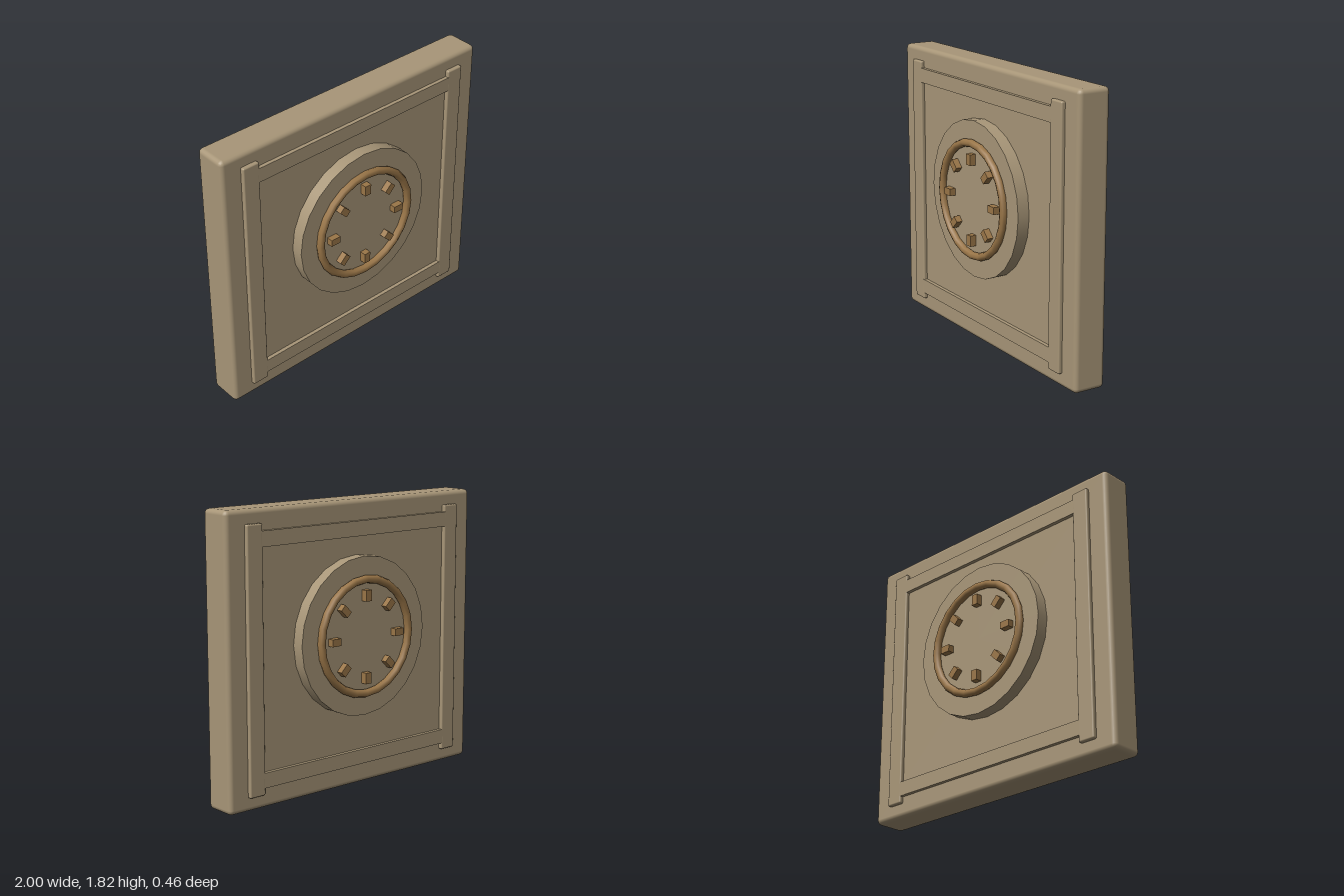
import * as THREE from 'three';
import { RoundedBoxGeometry } from 'three/addons/geometries/RoundedBoxGeometry.js';

const stone = new THREE.MeshStandardMaterial({ name: 'stone', color: 0xa89678 });
const bronze = new THREE.MeshStandardMaterial({ name: 'bronze', color: 0x9a7648 });

const DIAL_Y = 0.973;

function add(parent, name, geometry, material, x = 0, y = 0, z = 0) {
  const mesh = new THREE.Mesh(geometry, material);
  mesh.name = name;
  mesh.position.set(x, y, z);
  parent.add(mesh);
  return mesh;
}

// Frame, boss, ring and studs on one face of the slab
function createFace(name) {
  const face = new THREE.Group();
  face.name = name;

  // Raised frame: two tall stiles and two rails between them
  for (const side of [-1, 1]) {
    add(face, 'frameStile', new RoundedBoxGeometry(0.115, 1.645, 0.08, 2, 0.01), stone, side * 0.806, 0.91, 0.093);
    add(face, 'frameRail', new THREE.BoxGeometry(1.54, 0.095, 0.08), stone, 0, 0.91 + side * 0.731, 0.0925);
  }

  // Dial: round boss, ring and eight studs
  const dial = new THREE.Group();
  dial.name = 'dial';
  dial.position.y = DIAL_Y;
  face.add(dial);

  const boss = add(dial, 'boss', new THREE.CylinderGeometry(0.505, 0.505, 0.1, 24), stone, 0, 0, 0.137);
  boss.rotation.x = Math.PI / 2;
  add(dial, 'ring', new THREE.TorusGeometry(0.362, 0.026, 8, 24), bronze, 0, 0, 0.199);

  for (let i = 0; i < 8; i++) {
    const a = (i * Math.PI) / 4;
    const stud = add(dial, 'stud', new THREE.BoxGeometry(0.07, 0.046, 0.06), bronze,
      0.261 * Math.cos(a), 0.261 * Math.sin(a), 0.198);
    stud.rotation.z = a;
  }
  return face;
}

export function createModel() {
  const model = new THREE.Group();
  model.name = 'stonePanel';

  // Main slab with softened edges
  add(model, 'slab', new RoundedBoxGeometry(2, 1.82, 0.216, 2, 0.03), stone, 0, 0.91, 0);

  // The same relief on the front and the back
  const front = createFace('frontFace');
  const back = createFace('backFace');
  back.rotation.y = Math.PI;
  model.add(front, back);
  return model;
}
